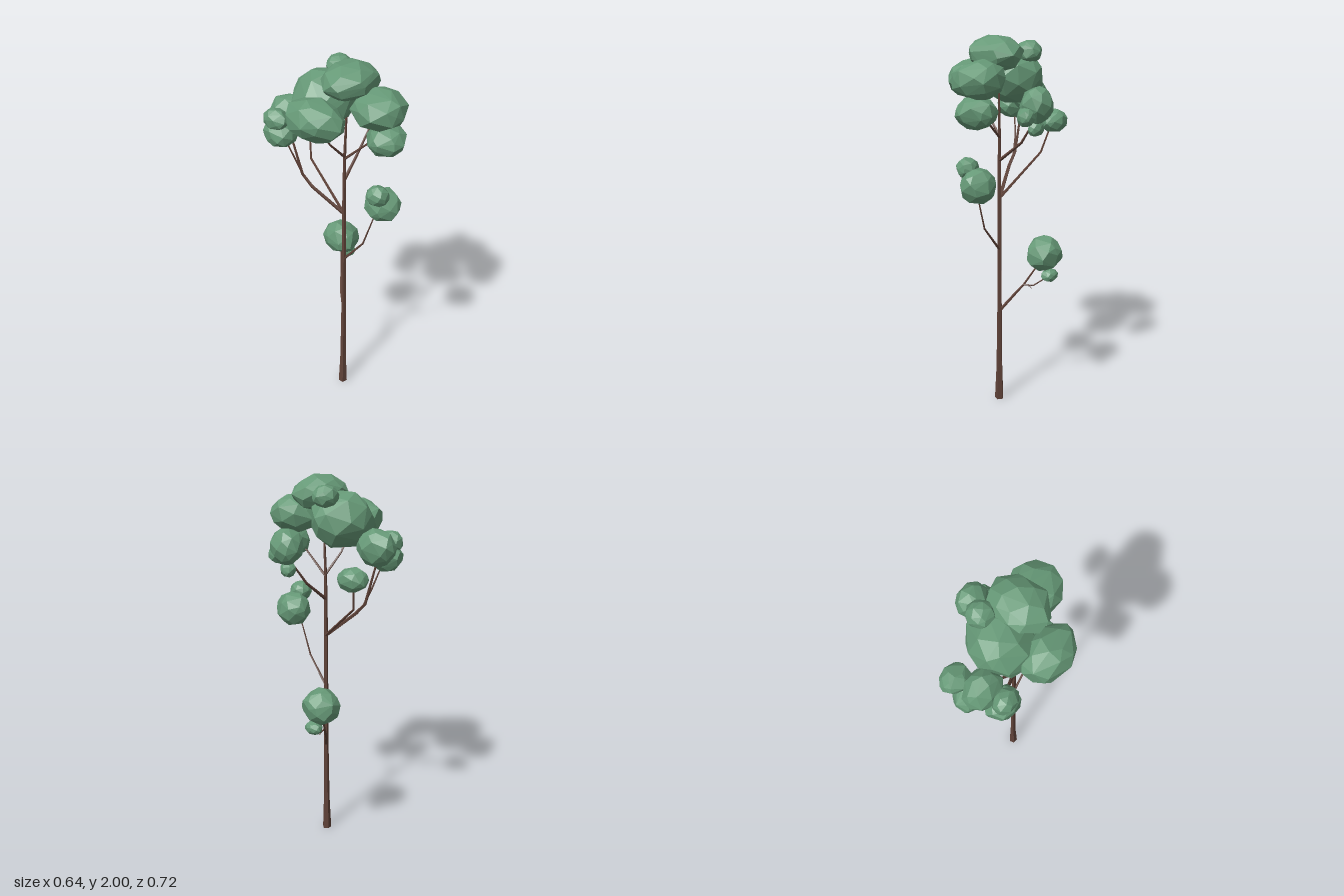
import * as THREE from 'three';
import { ConvexGeometry } from 'three/addons/geometries/ConvexGeometry.js';

const bark = new THREE.MeshStandardMaterial({ color: 0x5f4238, flatShading: true });
const leaf = new THREE.MeshStandardMaterial({ color: 0x669977, flatShading: true });

function seeded(seed) {
  let s = seed * 7919 + 17;
  return () => (s = (s * 16807) % 2147483647) / 2147483647;
}

// Tapered limb: rings of `sides` corners lofted along points [x, y, z, radius]
function limb(name, points, sides = 5) {
  const centres = points.map(p => new THREE.Vector3(p[0], p[1], p[2]));
  const pos = [], index = [], up = new THREE.Vector3(0, 1, 0);
  const last = points.length - 1;
  centres.forEach((c, i) => {
    const dir = centres[Math.min(i + 1, last)].clone().sub(centres[Math.max(i - 1, 0)]).normalize();
    const q = new THREE.Quaternion().setFromUnitVectors(up, i === 0 && name === 'trunk' ? up : dir);
    for (let j = 0; j < sides; j++) {
      const a = (j / sides) * Math.PI * 2, r = points[i][3];
      const v = new THREE.Vector3(Math.cos(a) * r, 0, Math.sin(a) * r).applyQuaternion(q).add(c);
      pos.push(v.x, v.y, v.z);
      if (i === last) continue;
      const n = (j + 1) % sides, k = i * sides;
      index.push(k + j, k + sides + j, k + n, k + n, k + sides + j, k + sides + n);
    }
  });
  // end caps
  for (let j = 1; j < sides - 1; j++) {
    const k = last * sides;
    index.push(0, j, j + 1, k, k + j + 1, k + j);
  }
  const geo = new THREE.BufferGeometry();
  geo.setAttribute('position', new THREE.Float32BufferAttribute(pos, 3));
  geo.setIndex(index);
  geo.computeVertexNormals();
  const mesh = new THREE.Mesh(geo, bark);
  mesh.name = name;
  return mesh;
}

// Faceted leaf clump: hull of jittered points on a sphere, fitted to its half sizes
function clump(name, [x, y, z, rx, ry, rz], seed) {
  const rnd = seeded(seed), pts = [], count = 38;
  for (let i = 0; i < count; i++) {
    const h = 1 - (2 * (i + 0.5)) / count, a = i * 2.39996 + seed + (rnd() - 0.5) * 0.6;
    const r = Math.sqrt(1 - h * h), s = 0.94 + rnd() * 0.1;
    pts.push(new THREE.Vector3(Math.cos(a) * r, h, Math.sin(a) * r).multiplyScalar(s));
  }
  const geo = new ConvexGeometry(pts);
  geo.center();
  geo.computeBoundingBox();
  const b = geo.boundingBox.max;
  geo.scale(rx / b.x, ry / b.y, rz / b.z);
  geo.computeVertexNormals();
  const mesh = new THREE.Mesh(geo, leaf);
  mesh.position.set(x, y, z);
  mesh.name = name;
  return mesh;
}

export function createModel() {
  const tree = new THREE.Group();
  tree.name = 'tree';

  // Trunk and branches
  const limbs = {
    trunk: [[-0.01, 0, 0.042, 0.025], [-0.008, 0.2, 0.042, 0.017], [-0.006, 0.55, 0.042, 0.013],
      [-0.006, 1.17, 0.042, 0.011], [-0.004, 1.5, 0.042, 0.008], [0, 1.75, 0.05, 0.005]],
    lowBranch: [[-0.005, 0.535, 0.042, 0.009], [0.035, 0.605, -0.005, 0.008], [0.09, 0.69, -0.05, 0.006], [0.15, 0.81, -0.1, 0.004]],
    lowSideBranch: [[0.085, 0.685, -0.045, 0.005], [0.14, 0.69, -0.07, 0.004], [0.21, 0.75, -0.11, 0.003]],
    lowTwig: [[0.11, 0.69, -0.055, 0.004], [0.135, 0.672, -0.06, 0.002]],
    frontBranch: [[-0.005, 0.885, 0.042, 0.007], [0, 1.03, 0.16, 0.005], [0.015, 1.25, 0.23, 0.003]],
    backBranch: [[-0.005, 1.17, 0.042, 0.01], [-0.075, 1.31, -0.11, 0.009], [-0.085, 1.37, -0.165, 0.008], [-0.1, 1.65, -0.245, 0.004]],
    backSideBranch: [[-0.083, 1.35, -0.15, 0.006], [-0.105, 1.45, -0.19, 0.005], [-0.15, 1.6, -0.23, 0.003]],
    backLeftBranch: [[-0.005, 1.17, 0.042, 0.008], [0.05, 1.38, -0.22, 0.006], [0.09, 1.54, -0.26, 0.004]],
    leftBranch: [[-0.005, 1.37, 0.042, 0.009], [0.135, 1.48, 0.03, 0.007], [0.24, 1.62, 0.04, 0.004]],
    rightBranch: [[-0.004, 1.5, 0.042, 0.007], [-0.1, 1.6, 0.03, 0.005], [-0.2, 1.74, 0.03, 0.003]],
    frontTopBranch: [[-0.004, 1.49, 0.042, 0.007], [0.01, 1.59, 0.15, 0.005], [0.03, 1.68, 0.24, 0.003]],
  };
  for (const [name, points] of Object.entries(limbs)) tree.add(limb(name, points));

  // Leaf clumps: centre, then half sizes
  const clumps = {
    crownTop: [0, 1.91, 0.075, 0.155, 0.09, 0.12],
    crownMiddle: [-0.01, 1.79, -0.067, 0.165, 0.14, 0.152],
    crownKnob: [0.095, 1.915, -0.067, 0.067, 0.055, 0.067],
    crownRight: [-0.21, 1.77, 0.03, 0.113, 0.1, 0.155],
    crownFront: [0.025, 1.795, 0.215, 0.125, 0.1, 0.137],
    crownFrontLower: [0.045, 1.645, 0.26, 0.105, 0.08, 0.1],
    crownBack: [-0.065, 1.675, -0.258, 0.086, 0.096, 0.103],
    crownBackRight: [-0.16, 1.61, -0.235, 0.075, 0.07, 0.09],
    crownBackRightKnob: [-0.18, 1.685, -0.235, 0.052, 0.055, 0.066],
    crownBackLeft: [0.096, 1.55, -0.263, 0.07, 0.06, 0.081],
    leftClump: [0.245, 1.68, 0.045, 0.077, 0.09, 0.087],
    leftClumpFront: [0.24, 1.63, 0.12, 0.046, 0.045, 0.043],
    leftClumpLower: [0.24, 1.568, 0.045, 0.035, 0.04, 0.045],
    frontClump: [0.043, 1.283, 0.245, 0.086, 0.087, 0.1],
    frontClumpKnob: [-0.02, 1.367, 0.255, 0.055, 0.053, 0.057],
    lowClump: [0.175, 0.87, -0.117, 0.086, 0.092, 0.098],
    lowClumpKnob: [0.215, 0.757, -0.11, 0.041, 0.035, 0.05],
  };
  Object.entries(clumps).forEach(([name, c], i) => tree.add(clump(name, c, i + 1)));
  return tree;
}
